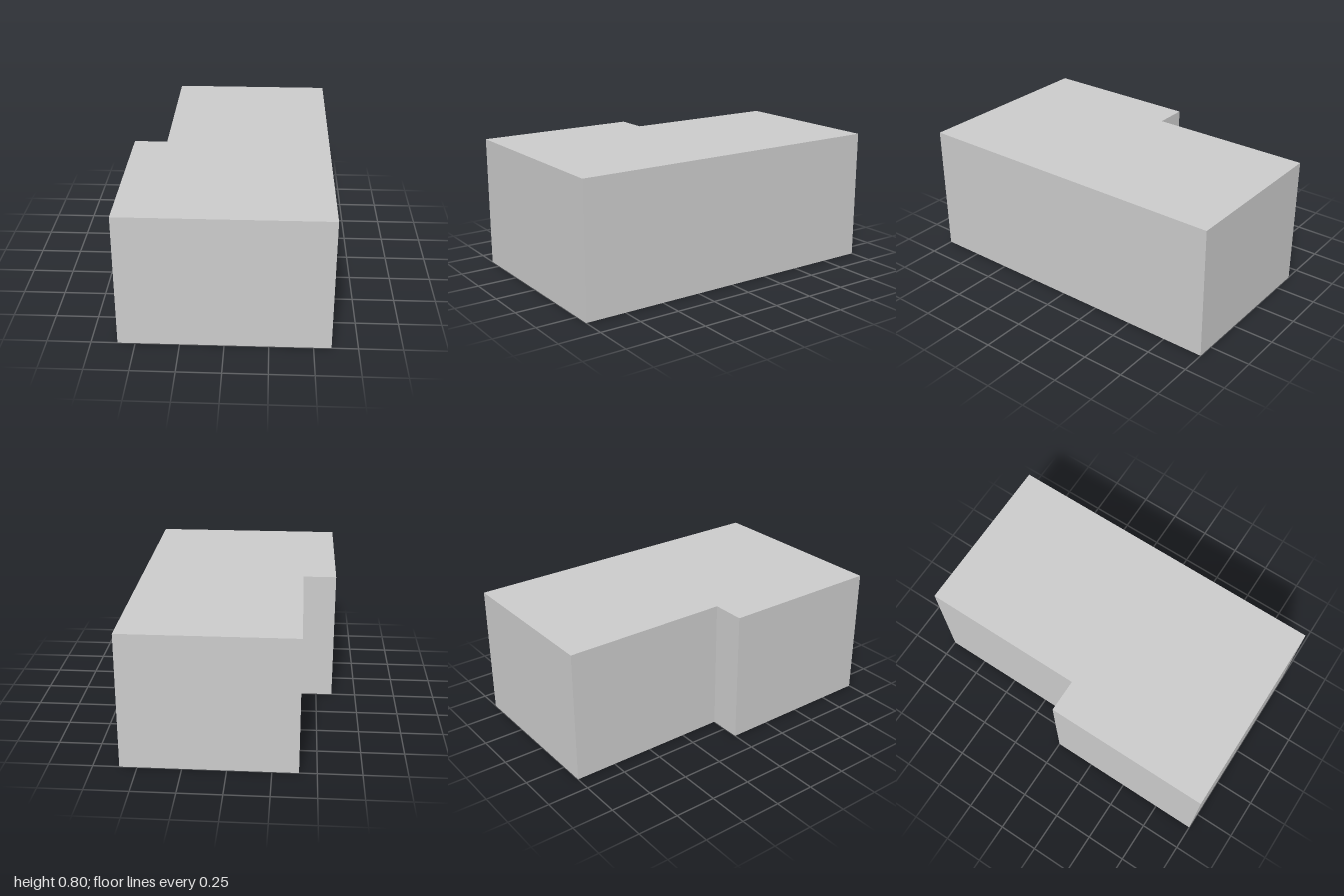
import * as THREE from 'three';

export function createModel() {
  const group = new THREE.Group();
  group.name = 'steppedBlock';

  // Floor plan as [x, z], with a shallow step cut from the back corner
  const plan = [[-0.6, 1], [0.6, 1], [0.6, -1], [-0.4, -1], [-0.4, 0], [-0.6, 0]];
  const shape = new THREE.Shape(plan.map(([x, z]) => new THREE.Vector2(x, -z)));

  // Raise the plan into a solid block standing on the ground
  const geometry = new THREE.ExtrudeGeometry(shape, { depth: 0.8, bevelEnabled: false });
  geometry.rotateX(-Math.PI / 2);

  const block = new THREE.Mesh(
    geometry,
    new THREE.MeshStandardMaterial({ color: 0xcccccc, flatShading: true })
  );
  block.name = 'block';
  group.add(block);
  return group;
}
